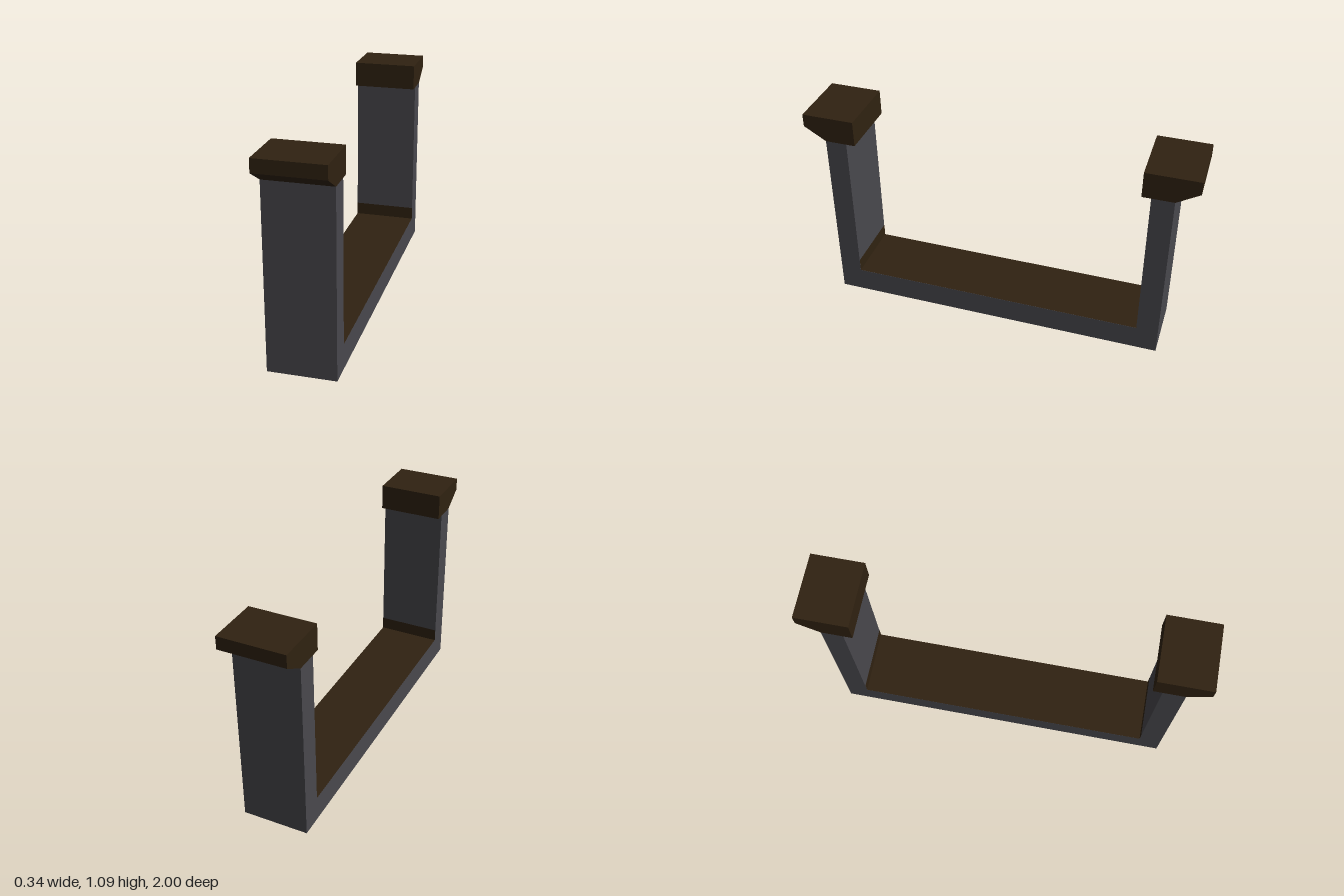
import * as THREE from 'three';

const WIDTH = 0.34;
const steel = new THREE.MeshStandardMaterial({ color: 0x49484d });
steel.name = 'dark grey';
const brown = new THREE.MeshStandardMaterial({ color: 0x302211 });
brown.name = 'dark brown';

// Extrudes a [z, y] outline across the full width, centred on x = 0
function profile(points, material, name) {
  const shape = new THREE.Shape(points.map(([z, y]) => new THREE.Vector2(z, y)));
  const geometry = new THREE.ExtrudeGeometry(shape, { depth: WIDTH, bevelEnabled: false });
  geometry.translate(0, 0, -WIDTH / 2).rotateY(-Math.PI / 2);
  const mesh = new THREE.Mesh(geometry, material);
  mesh.name = name;
  return mesh;
}

export function createModel() {
  const model = new THREE.Group();
  model.name = 'channel';

  // U-shaped body: base and two upright walls
  const outer = 0.886, inner = 0.774, floor = 0.13, wallTop = 0.95;
  model.add(profile([
    [-outer, 0], [outer, 0], [outer, wallTop], [inner, wallTop],
    [inner, floor], [-inner, floor], [-inner, wallTop], [-outer, wallTop],
  ], steel, 'channelBody'));

  // Brown floor face
  const floorFace = new THREE.Mesh(new THREE.PlaneGeometry(WIDTH, inner * 2), brown);
  floorFace.name = 'floorLining';
  floorFace.rotation.x = -Math.PI / 2;
  floorFace.position.y = floor + 0.001;
  model.add(floorFace);

  for (const side of [1, -1]) {
    const end = side > 0 ? 'front' : 'back';

    // Coping with a chamfered outer underside
    model.add(profile([
      [0.728, wallTop], [outer, wallTop], [1, 1.018], [1, 1.085], [0.728, 1.085],
    ].map(([z, y]) => [z * side, y]), brown, end + 'Coping'));

    // Low skirting strip on the inner wall
    const skirting = new THREE.Mesh(new THREE.PlaneGeometry(WIDTH, 0.07), brown);
    skirting.name = end + 'Skirting';
    skirting.position.set(0, floor + 0.035, side * (inner - 0.001));
    if (side > 0) skirting.rotation.y = Math.PI;
    model.add(skirting);
  }
  return model;
}
